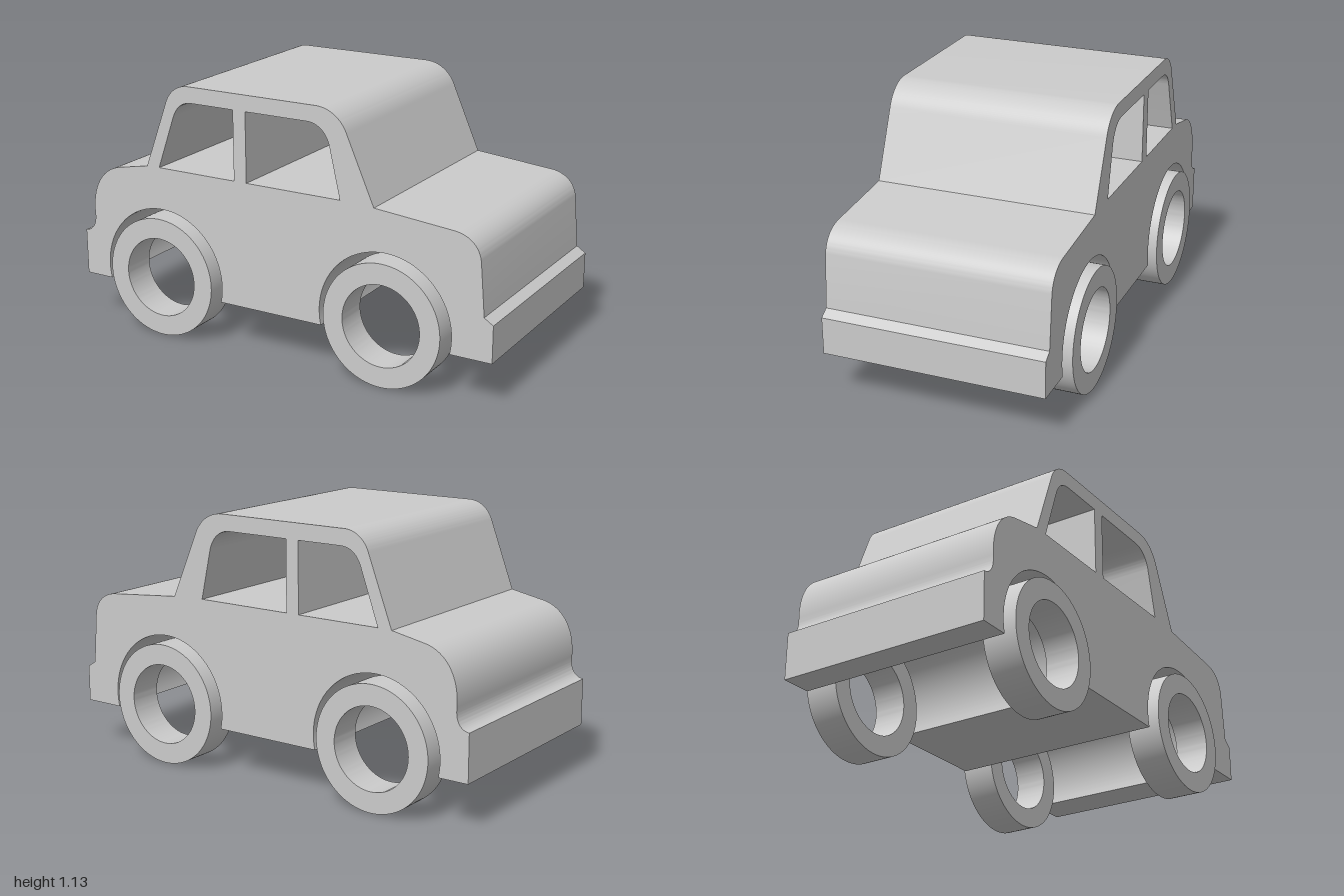
import * as THREE from 'three';
import { toCreasedNormals } from 'three/addons/utils/BufferGeometryUtils.js';

const material = new THREE.MeshStandardMaterial({ color: 0xcccccc });
const REAR_X = -0.57, FRONT_X = 0.52, AXLE_Y = 0.267;
const WHEEL_R = 0.267, HOLE_R = 0.177, ARCH_R = 0.303;
const BODY_WIDTH = 0.96, WHEEL_WIDTH = 0.15, WHEEL_Z = 0.435;

// Extrude a profile along z, centred on z = 0, with smooth curves and sharp edges
function slab(name, shape, depth, curveSegments) {
  const geometry = new THREE.ExtrudeGeometry(shape, { depth, curveSegments, bevelEnabled: false });
  geometry.translate(0, 0, -depth / 2);
  const mesh = new THREE.Mesh(toCreasedNormals(geometry, 0.35), material);
  mesh.name = name;
  return mesh;
}

// Wheel arch cut into the bottom edge, running from left to right
function cutArch(shape, x, floorY) {
  const a = Math.asin((floorY - AXLE_Y) / ARCH_R);
  shape.lineTo(x - ARCH_R * Math.cos(a), floorY);
  shape.absarc(x, AXLE_Y, ARCH_R, Math.PI - a, a, true);
}

function bodyShape() {
  const s = new THREE.Shape();
  // Underside with both arches
  s.moveTo(-1, 0.2);
  cutArch(s, REAR_X, 0.2);
  cutArch(s, FRONT_X, 0.2);
  // Front bumper and bonnet
  s.lineTo(1, 0.2);
  s.lineTo(1, 0.36);
  s.lineTo(0.96, 0.386);
  s.lineTo(0.941, 0.61);
  s.bezierCurveTo(0.935, 0.67, 0.89, 0.712, 0.82, 0.718);
  s.lineTo(0.47, 0.75);
  // Windscreen, roof and rear window
  s.lineTo(0.345, 1.035);
  s.bezierCurveTo(0.32, 1.095, 0.265, 1.132, 0.2, 1.132);
  s.lineTo(-0.42, 1.132);
  s.bezierCurveTo(-0.47, 1.132, -0.515, 1.1, -0.533, 1.05);
  s.lineTo(-0.644, 0.755);
  // Boot and rear bumper
  s.lineTo(-0.8, 0.725);
  s.bezierCurveTo(-0.89, 0.705, -0.955, 0.62, -0.943, 0.48);
  s.bezierCurveTo(-0.943, 0.435, -0.965, 0.408, -1, 0.405);
  s.closePath();

  // Rear side window
  const rear = new THREE.Path();
  rear.moveTo(-0.58, 0.757);
  rear.lineTo(-0.497, 0.99);
  rear.bezierCurveTo(-0.48, 1.035, -0.45, 1.062, -0.4, 1.062);
  rear.lineTo(-0.194, 1.062);
  rear.lineTo(-0.194, 0.757);
  rear.closePath();

  // Front side window
  const front = new THREE.Path();
  front.moveTo(-0.133, 0.757);
  front.lineTo(-0.133, 1.062);
  front.lineTo(0.16, 1.062);
  front.bezierCurveTo(0.215, 1.062, 0.255, 1.025, 0.267, 0.97);
  front.lineTo(0.315, 0.757);
  front.closePath();

  s.holes.push(rear, front);
  return s;
}

function wheelShape() {
  const s = new THREE.Shape().absarc(0, 0, WHEEL_R, 0, Math.PI * 2, false);
  s.holes.push(new THREE.Path().absarc(0, 0, HOLE_R, 0, Math.PI * 2, true));
  return s;
}

export function createModel() {
  const car = new THREE.Group();
  car.name = 'toyCar';
  car.add(slab('body', bodyShape(), BODY_WIDTH, 24));

  // Four ring wheels
  for (const [end, x] of [['rear', REAR_X], ['front', FRONT_X]]) {
    for (const [side, z] of [['Near', WHEEL_Z], ['Far', -WHEEL_Z]]) {
      const wheel = slab(end + side + 'Wheel', wheelShape(), WHEEL_WIDTH, 64);
      wheel.position.set(x, AXLE_Y, z);
      car.add(wheel);
    }
  }
  return car;
}
